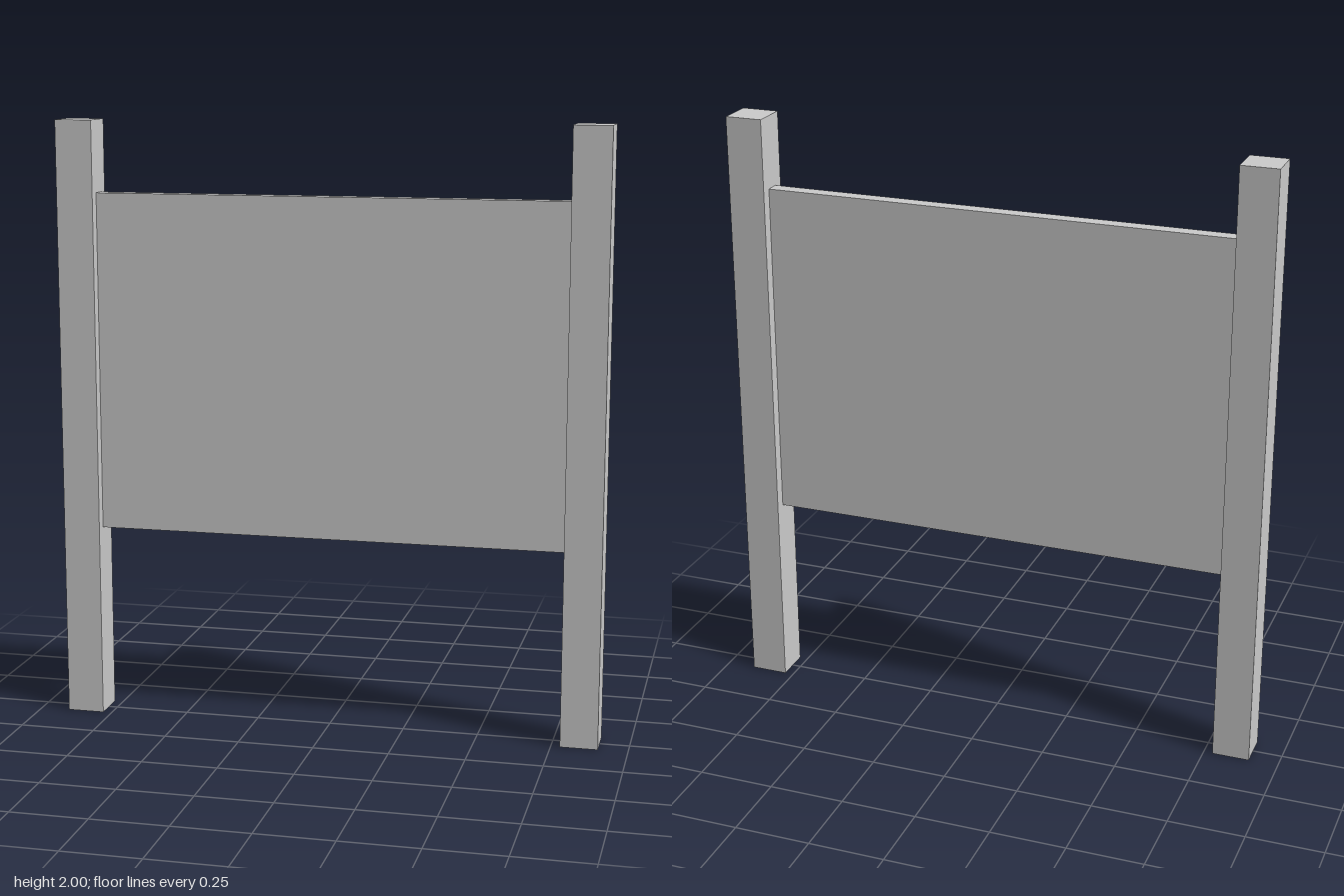
import * as THREE from 'three';

export function createModel() {
  const group = new THREE.Group();
  const material = new THREE.MeshStandardMaterial({ color: 0xcccccc, flatShading: true });

  const addBox = (name, [w, h, d], [x, y, z]) => {
    const mesh = new THREE.Mesh(new THREE.BoxGeometry(w, h, d), material);
    mesh.name = name;
    mesh.position.set(x, y, z);
    group.add(mesh);
  };

  // Square posts on both sides
  const postSize = 0.123, postX = 0.841;
  addBox('leftPost', [postSize, 2, postSize], [postX, 1, 0]);
  addBox('rightPost', [postSize, 2, postSize], [-postX, 1, 0]);

  // Thin board held between the posts
  const bottom = 0.64, top = 1.763;
  addBox('boardPanel', [2 * postX - postSize, top - bottom, 0.048], [0, (top + bottom) / 2, 0]);

  return group;
}
